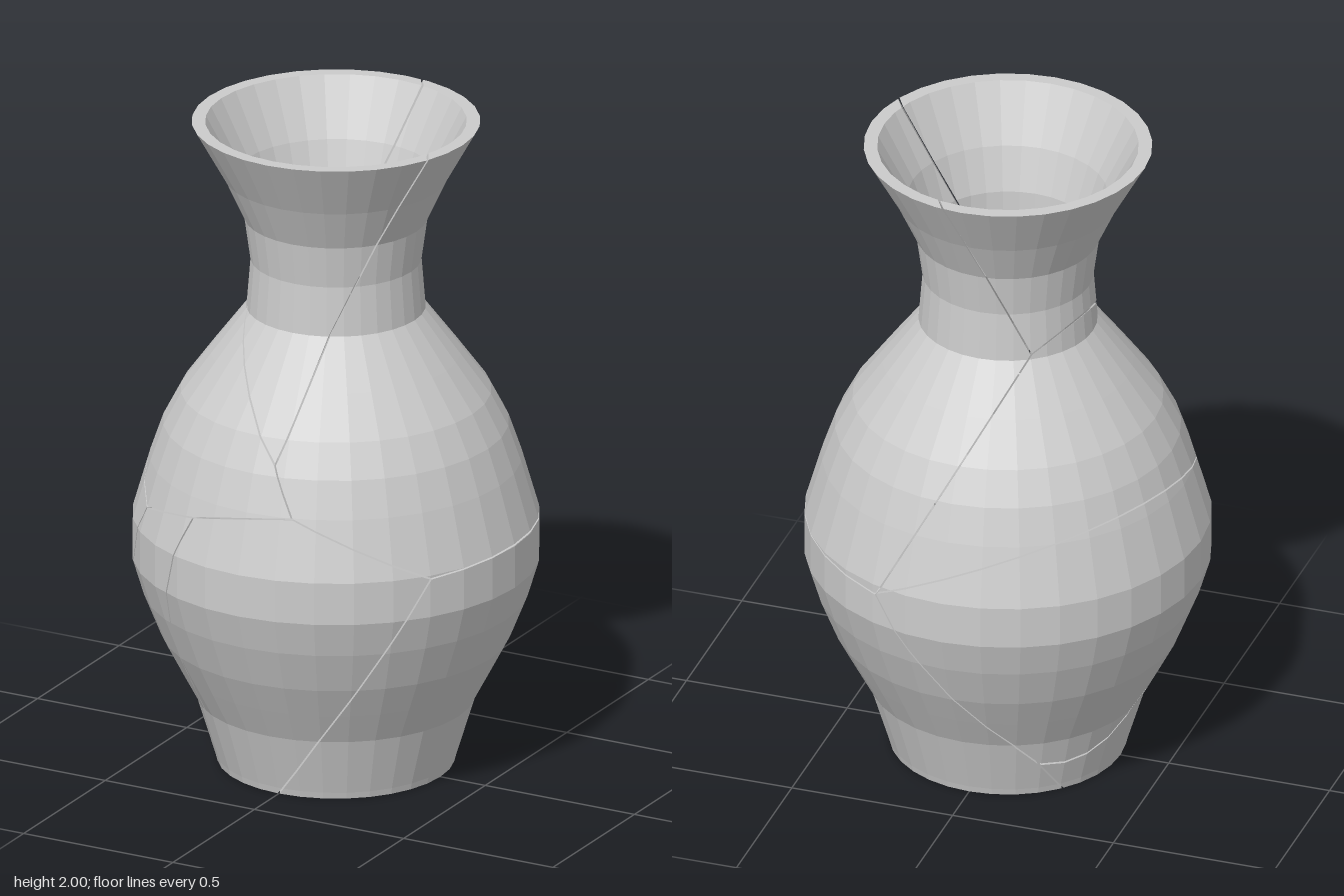
import * as THREE from 'three';

const SIDES = 32;
const GAP = 0.0025; // half the width of a crack

// Wall profile, bottom to top: [outer radius, inner radius, height]
const WALL = [
  [0.355, 0.315, 0.02], [0.41, 0.37, 0.2], [0.463, 0.423, 0.3], [0.515, 0.475, 0.4],
  [0.567, 0.527, 0.53], [0.6, 0.56, 0.64], [0.6, 0.56, 0.77], [0.548, 0.508, 0.95],
  [0.51, 0.47, 1.06], [0.458, 0.418, 1.16], [0.37, 0.335, 1.28], [0.264, 0.245, 1.42],
  [0.252, 0.24, 1.57], [0.27, 0.25, 1.7], [0.33, 0.295, 1.83], [0.425, 0.385, 2],
];

// Each shard owns the region where its linear function a*x + b*y + c*z + d is largest
const SHARDS = {
  neckShard: [-0.1295, 0.6176, 0.045, -0.4664],
  leftShoulderShard: [-0.064, 0.58, 0.007, -0.411],
  rightShoulderShard: [-0.2795, 0.463, 0.014, -0.2735],
  baseShard: [0, 0, 0, 0],
  frontShard: [-0.228, 0.153, 0.114, -0.04],
  sideShard: [-0.2575, 0.164, 0.091, -0.0432],
  backShard: [-0.3724, 0.2475, -0.0237, -0.114],
};

// Counter-clockwise profile polygons; open lists the edges that lie on the surface
function profileBlocks() {
  const [r, ri, y] = WALL[0];
  const blocks = [
    { pts: [[0, 0], [ri, 0], [ri, y], [0, y]], open: [0, 2] },          // floor
    { pts: [[ri, 0], [0.35, 0], [r, y], [ri, y]], open: [0, 1] },       // foot
  ];
  for (let i = 0; i + 1 < WALL.length; i++) {
    const [o0, i0, y0] = WALL[i], [o1, i1, y1] = WALL[i + 1];
    const open = i + 2 === WALL.length ? [1, 2, 3] : [1, 3];            // the last one has the rim
    blocks.push({ pts: [[i0, y0], [o0, y0], [o1, y1], [i1, y1]], open });
  }
  return blocks;
}

// Convex solid made by sweeping a profile polygon through one side of the vase
function wedge({ pts, open }, a0, a1) {
  const at = ([r, y], a) => new THREE.Vector3(r * Math.sin(a), y, r * Math.cos(a));
  const faces = pts.map((p, i) => {
    const q = pts[(i + 1) % pts.length];
    return { pts: [at(p, a0), at(p, a1), at(q, a1), at(q, a0)], show: open.includes(i) };
  });
  faces.push({ pts: pts.map(p => at(p, a0)), show: false });
  faces.push({ pts: pts.map(p => at(p, a1)).reverse(), show: false });
  return faces;
}

// Keep the part of a convex solid in front of a plane and close the cut
function cut(faces, plane) {
  const kept = [], rim = [];
  for (const { pts, show } of faces) {
    const out = [];
    pts.forEach((p, i) => {
      const q = pts[(i + 1) % pts.length];
      const dp = plane.distanceToPoint(p), dq = plane.distanceToPoint(q);
      if (dp >= 0) out.push(p);
      if ((dp >= 0) !== (dq >= 0)) {
        const hit = p.clone().lerp(q, dp / (dp - dq));
        out.push(hit);
        if (!rim.some(v => v.distanceTo(hit) < 1e-6)) rim.push(hit);
      }
    });
    if (out.length > 2) kept.push({ pts: out, show });
  }
  if (rim.length > 2) {
    const n = plane.normal.clone().negate();
    const mid = rim.reduce((s, p) => s.add(p), new THREE.Vector3()).divideScalar(rim.length);
    const u = rim[0].clone().sub(mid).normalize();
    const v = n.clone().cross(u);
    const angle = p => Math.atan2(p.clone().sub(mid).dot(v), p.clone().sub(mid).dot(u));
    kept.push({ pts: rim.sort((p, q) => angle(p) - angle(q)), show: true });
  }
  return kept;
}

// Planes around one shard, moved inwards by the crack gap
function shardPlanes(name) {
  const f = SHARDS[name];
  return Object.keys(SHARDS).filter(other => other !== name).map(other => {
    const [a, b, c, d] = f.map((v, i) => v - SHARDS[other][i]);
    const plane = new THREE.Plane(new THREE.Vector3(a, b, c), d).normalize();
    plane.constant -= GAP;
    return plane;
  });
}

function shardGeometry(name, blocks) {
  const planes = shardPlanes(name), positions = [];
  const tri = new THREE.Triangle();
  for (let s = 0; s < SIDES; s++) {
    for (const block of blocks) {
      let faces = wedge(block, (s / SIDES) * Math.PI * 2, ((s + 1) / SIDES) * Math.PI * 2);
      for (const plane of planes) faces = cut(faces, plane);
      for (const { pts, show } of faces) {
        if (!show) continue;
        for (let i = 1; i + 1 < pts.length; i++) {
          tri.set(pts[0], pts[i], pts[i + 1]);
          if (tri.getArea() < 1e-9) continue;
          for (const p of [tri.a, tri.b, tri.c]) positions.push(p.x, p.y, p.z);
        }
      }
    }
  }
  const geometry = new THREE.BufferGeometry();
  geometry.setAttribute('position', new THREE.Float32BufferAttribute(positions, 3));
  geometry.computeVertexNormals();
  return geometry;
}

export function createModel() {
  const vase = new THREE.Group();
  vase.name = 'crackedVase';
  const material = new THREE.MeshStandardMaterial({ color: 0xcccccc, flatShading: true });
  const blocks = profileBlocks();
  for (const name of Object.keys(SHARDS)) {
    const shard = new THREE.Mesh(shardGeometry(name, blocks), material);
    shard.name = name;
    vase.add(shard);
  }
  return vase;
}
